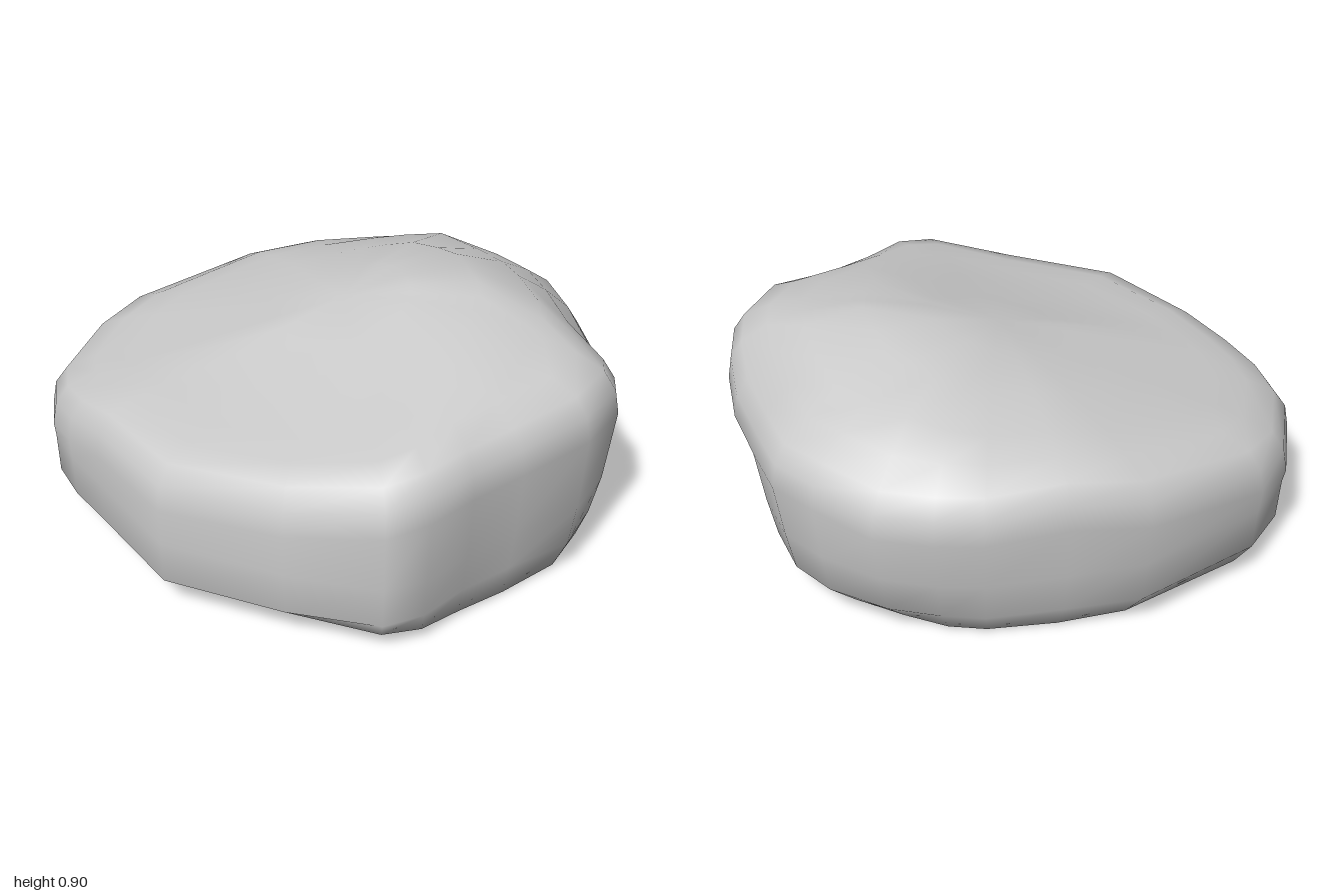
import * as THREE from 'three';

// Plan outline, clockwise from the back:
// x, z, scale of the lower edge, scale of the underside, drop of the shoulder
const OUTLINE = [
  [-0.32, -1.0, 0.98, 0.92, 0], [0.2, -0.91, 0.97, 0.87, 0], [0.45, -0.76, 0.95, 0.87, 0],
  [0.7, -0.6, 0.93, 0.84, 0.06], [0.82, -0.48, 0.91, 0.82, 0.09], [0.93, -0.3, 0.91, 0.79, 0.04],
  [0.97, -0.05, 0.94, 0.82, 0], [0.975, 0.15, 0.93, 0.82, 0], [0.88, 0.37, 0.93, 0.86, 0.05],
  [0.74, 0.65, 0.87, 0.8, 0.15], [0.64, 0.8, 0.9, 0.86, 0.09], [0.53, 0.91, 0.93, 0.89, 0.03],
  [0.3, 0.995, 0.95, 0.9, 0], [0.02, 0.97, 0.95, 0.93, 0.04], [-0.2, 0.965, 0.95, 0.93, 0.05],
  [-0.4, 0.98, 0.96, 0.94, 0], [-0.55, 0.93, 0.97, 0.95, -0.02], [-0.76, 0.65, 0.98, 0.95, 0],
  [-0.98, 0.24, 0.99, 0.94, 0], [-0.955, -0.2, 0.99, 0.94, 0], [-0.945, -0.42, 0.99, 0.94, 0],
  [-0.91, -0.6, 0.99, 0.93, 0], [-0.82, -0.76, 0.98, 0.92, 0], [-0.54, -0.95, 0.98, 0.92, 0],
];

// Top: sloping planes meeting in a blunt crown
const topY = (x, z) => Math.min(
  0.91,
  Math.max(0.83 + 0.31 * x, 0.72 + 0.12 * x),
  0.83 + 0.22 * (x + z),
  0.876 + 0.113 * z,
  0.9 + 0.31 * z,
  0.985 - 0.24 * z,
  1.17 - 0.53 * x,
);

// Underside: nearly flat, rising towards the model's right
const bottomY = (x) => 0.005 + Math.min(0.09, Math.max(0, -x - 0.12) * 0.16);

// One column of points from the underside up to the crown
function column([x, z, low, under, drop]) {
  const at = (s, y) => [x * s, y, z * s];
  const onTop = (s, lower) => at(s, topY(x * s, z * s) - lower);
  const shoulder = topY(x * 0.94, z * 0.94) - 0.02 - drop;
  return [
    at(under * 0.5, bottomY(x * under * 0.5)),
    at(under, bottomY(x * under) + 0.01),
    at(low, 0.13),
    at((low + 1) / 2, 0.29),
    at(1, shoulder - 0.16),
    at(0.985, shoulder - 0.07),
    at(0.94, shoulder),
    onTop(0.84, drop * 0.6),
    onTop(0.72, drop * 0.2),
    onTop(0.5, 0),
    onTop(0.25, 0),
  ];
}

function boulderGeometry() {
  const columns = OUTLINE.map(column);
  const n = columns.length;
  const rings = columns[0].length;
  const positions = [];
  const index = [];
  for (let r = 0; r < rings; r++) {
    for (const c of columns) positions.push(...c[r]);
  }
  // Closing points of the underside and the crown
  const bottom = n * rings;
  const top = bottom + 1;
  positions.push(0, bottomY(0), 0, 0, topY(0, 0), 0);

  for (let i = 0; i < n; i++) {
    const j = (i + 1) % n;
    for (let r = 0; r < rings - 1; r++) {
      const a = r * n + i, b = r * n + j;
      index.push(a, a + n, b, b, a + n, b + n);
    }
    index.push(bottom, i, j);
    index.push(top, (rings - 1) * n + j, (rings - 1) * n + i);
  }

  const geometry = new THREE.BufferGeometry();
  geometry.setAttribute('position', new THREE.Float32BufferAttribute(positions, 3));
  geometry.setIndex(index);
  geometry.computeVertexNormals();
  return geometry;
}

export function createModel() {
  const group = new THREE.Group();
  group.name = 'rock';
  const boulder = new THREE.Mesh(
    boulderGeometry(),
    new THREE.MeshStandardMaterial({ color: 0xcccccc }),
  );
  boulder.name = 'boulder';
  group.add(boulder);
  return group;
}
